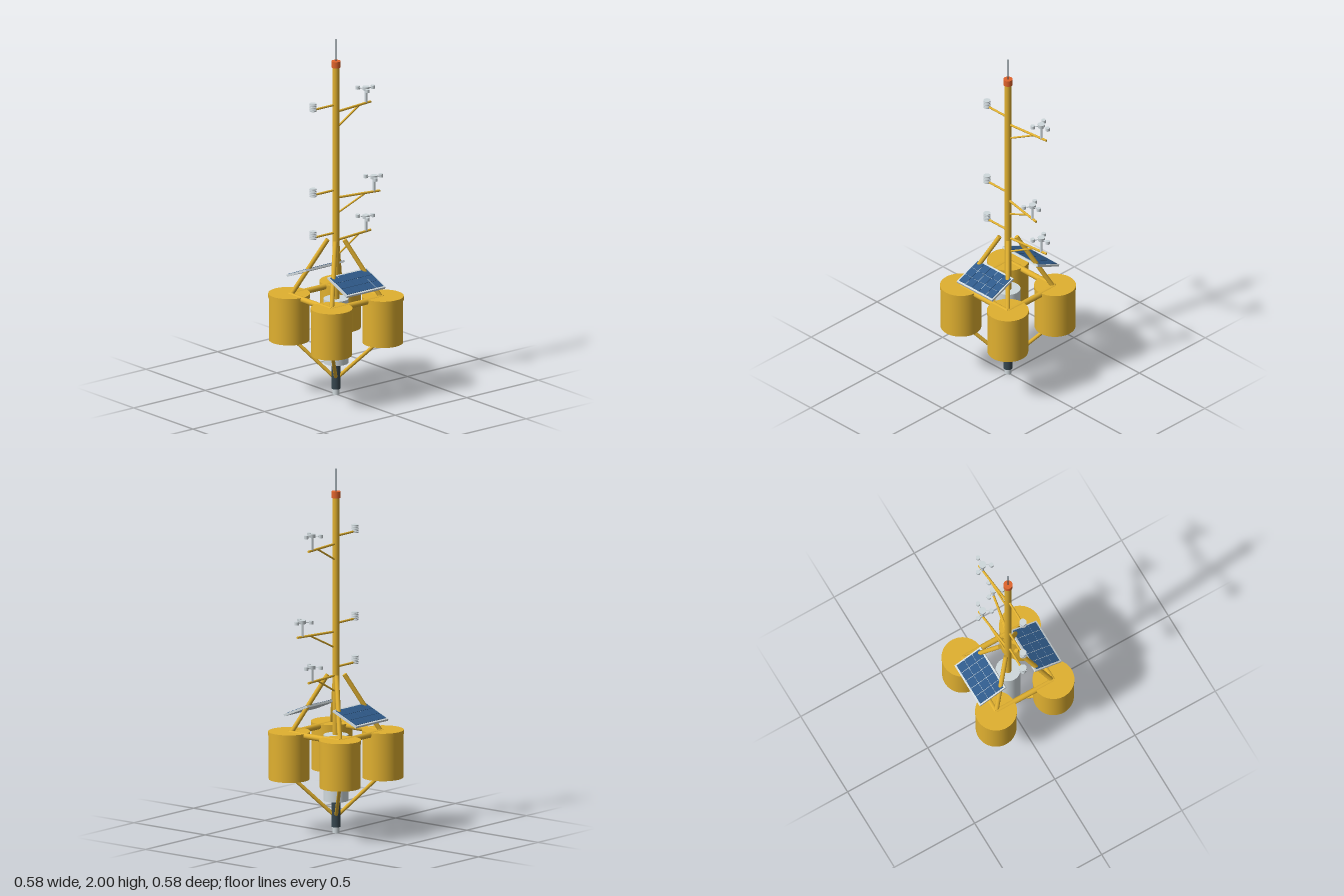
import * as THREE from 'three';

const mat = (name, color) => {
  const m = new THREE.MeshStandardMaterial({ color });
  m.name = name;
  return m;
};

export function createModel() {
  const yellow = mat('buoy yellow', 0xe0b030);
  const grey = mat('light grey', 0xcfd8dc);
  const dark = mat('dark slate', 0x37474f);
  const blue = mat('cell blue', 0x2f5a8a);
  const orange = mat('beacon orange', 0xe0632c);

  const model = new THREE.Group();
  model.name = 'weatherBuoy';

  const add = (parent, name, geometry, material, x = 0, y = 0, z = 0) => {
    const mesh = new THREE.Mesh(geometry, material);
    mesh.name = name;
    mesh.position.set(x, y, z);
    parent.add(mesh);
    return mesh;
  };
  // Upright cylinder between two heights
  const post = (parent, name, material, r, y0, y1, x = 0, z = 0, seg = 32, rBottom = r) =>
    add(parent, name, new THREE.CylinderGeometry(r, rBottom, y1 - y0, seg), material, x, (y0 + y1) / 2, z);
  // Straight tube between two points
  const up = new THREE.Vector3(0, 1, 0);
  const rod = (parent, name, material, r, from, to) => {
    const a = new THREE.Vector3(...from), b = new THREE.Vector3(...to);
    const dir = b.clone().sub(a);
    const mesh = add(parent, name, new THREE.CylinderGeometry(r, r, dir.length(), 16), material);
    mesh.position.copy(a).add(b).multiplyScalar(0.5);
    mesh.quaternion.setFromUnitVectors(up, dir.normalize());
    return mesh;
  };

  // Central column, from the tip up to the antenna
  post(model, 'keelTip', grey, 0.019, 0, 0.035);
  post(model, 'keelSensor', dark, 0.025, 0.033, 0.18);
  post(model, 'centralHull', grey, 0.067, 0.178, 0.54, 0, 0, 48);
  post(model, 'mast', yellow, 0.02, 0.53, 1.845);
  post(model, 'beacon', orange, 0.025, 1.842, 1.877);
  post(model, 'antenna', dark, 0.004, 1.875, 2, 0, 0, 12);

  // Floats, legs and lower struts at the four corners
  for (const sx of [-1, 1]) {
    for (const sz of [-1, 1]) {
      const x = 0.179 * sx, z = 0.179 * sz;
      post(model, 'float', yellow, 0.11, 0.3, 0.545, x, z, 48);
      post(model, 'floatRim', yellow, 0.113, 0.54, 0.562, x, z, 48);
      rod(model, 'mastLeg', yellow, 0.0125, [0.173 * sx, 0.55, 0.173 * sz], [0.032 * sx, 0.87, 0.032 * sz]);
      rod(model, 'lowerStrut', yellow, 0.01, [0.165 * sx, 0.305, 0.165 * sz], [0.01 * sx, 0.1, 0.01 * sz]);
    }
  }

  // Square frame joining the floats
  const f = 0.178, fy = 0.55;
  for (const s of [-1, 1]) {
    rod(model, 'frameBeamSide', yellow, 0.016, [s * f, fy, -f], [s * f, fy, f]);
    rod(model, 'frameBeamAcross', yellow, 0.016, [-f, fy, s * f], [f, fy, s * f]);
  }

  // Tilted solar panels, front and back
  const cellGeometry = new THREE.BoxGeometry(0.0485, 0.003, 0.0505);
  for (const s of [0, 1]) {
    const side = new THREE.Group();
    side.name = s ? 'backPanel' : 'frontPanel';
    side.rotation.y = s * Math.PI;
    const panel = new THREE.Group();
    panel.name = 'solarPanel';
    panel.position.set(0, 0.667, 0.172);
    panel.rotation.x = THREE.MathUtils.degToRad(23);
    add(panel, 'panelFrame', new THREE.BoxGeometry(0.27, 0.012, 0.177), grey);
    for (let i = -2; i <= 2; i++)
      for (let j = -1; j <= 1; j++)
        add(panel, 'solarCell', cellGeometry, blue, i * 0.0512, 0.0065, j * 0.0525);
    side.add(panel);
    model.add(side);
  }

  // Right-hand boom with strut and three-cup wind sensor
  const windBoom = (y, slope) => {
    const boom = new THREE.Group();
    boom.name = 'windBoom';
    boom.position.y = y;
    rod(boom, 'boomArm', yellow, 0.0065, [0.01, 0, 0.01 * slope], [0.265, 0, 0.265 * slope]);
    rod(boom, 'boomStrut', yellow, 0.005, [0.01, -0.087, 0.01 * slope], [0.176, -0.002, 0.176 * slope]);
    const sensor = new THREE.Group();
    sensor.name = 'windSensor';
    sensor.position.set(0.23, 0, 0.23 * slope);
    post(sensor, 'sensorPost', grey, 0.007, 0, 0.072, 0, 0, 16);
    post(sensor, 'sensorHub', grey, 0.02, 0.072, 0.092, 0, 0, 24, 0.018);
    for (let k = 0; k < 3; k++) {
      const a = (k * 2 * Math.PI) / 3;
      const cx = 0.048 * Math.cos(a), cz = 0.048 * Math.sin(a);
      rod(sensor, 'cupArm', grey, 0.003, [0, 0.081, 0], [cx, 0.081, cz]);
      post(sensor, 'cup', grey, 0.012, 0.072, 0.09, cx, cz, 20);
    }
    boom.add(sensor);
    model.add(boom);
  };
  windBoom(1.59, -0.107);
  windBoom(1.107, 0.187);
  windBoom(0.867, -0.107);

  // Left-hand arm with stacked radiation shield
  for (const y of [1.632, 1.152, 0.912]) {
    const arm = new THREE.Group();
    arm.name = 'shieldArm';
    arm.position.y = y;
    rod(arm, 'armTube', yellow, 0.006, [0, 0, 0], [-0.16, 0, 0]);
    post(arm, 'shieldCore', grey, 0.01, -0.006, 0.036, -0.16, 0, 16);
    for (let k = 0; k < 5; k++)
      post(arm, 'shieldPlate', grey, 0.0195, -0.007 + k * 0.0095, -0.001 + k * 0.0095, -0.16, 0, 24);
    model.add(arm);
  }

  return model;
}
